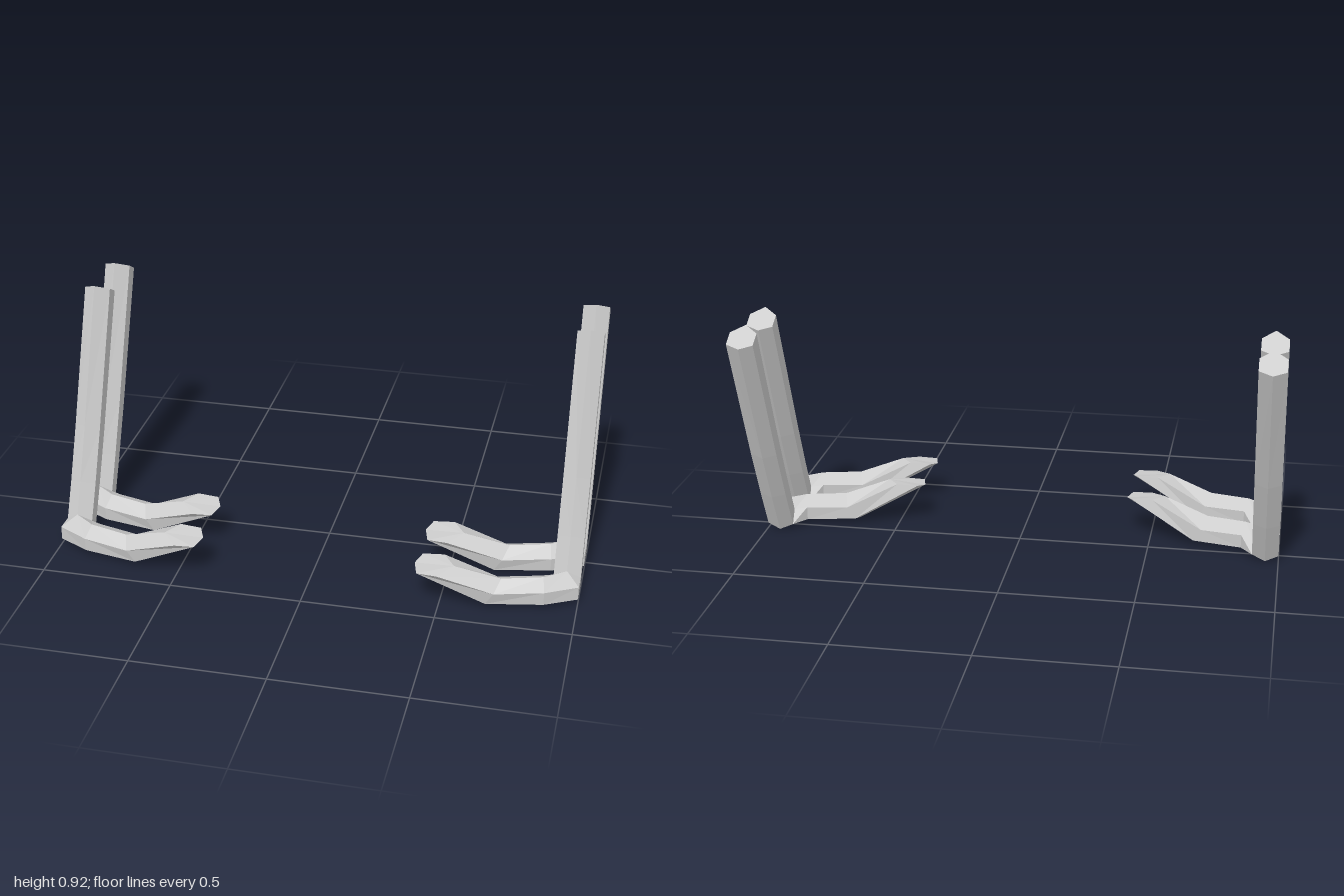
import * as THREE from 'three';

const material = new THREE.MeshStandardMaterial({ color: 0xcccccc, flatShading: true });

// Hexagonal ring of the leaning post, given its front and back corners as [y, z].
// Order: front, outer front, outer back, back, inner back, inner front.
function postRing([fy, fz], [by, bz]) {
  const at = (x, t) => [x, fy + (by - fy) * t, fz + (bz - fz) * t];
  return [at(0.95, 0), at(1, 0.33), at(1, 0.82), at(0.95, 1), at(0.9, 0.82), at(0.9, 0.33)];
}

const elbow = postRing([0.104, 0.245], [0, 0.18]);

const rings = [
  // post, from the top down
  postRing([0.922, -0.101], [0.861, -0.207]),
  postRing([0.42, 0.103], [0.363, 0.006]),
  postRing([0.22, 0.19], [0.167, 0.097]),
  elbow,
  // corner turning inward, pivoting on the inner edges of the elbow
  [elbow[0], [1, 0.072, 0.297], [1, 0.02, 0.297], [0.95, 0, 0.24], elbow[4], elbow[5]],
  // foot: top, front upper, front lower, bottom, back lower, back upper
  [[0.87, 0.104, 0.305], [0.88, 0.072, 0.363], [0.88, 0.02, 0.36],
    [0.87, 0.003, 0.305], [0.855, 0.02, 0.247], [0.855, 0.072, 0.245]],
  [[0.72, 0.102, 0.345], [0.7, 0.068, 0.405], [0.67, 0.02, 0.4],
    [0.66, 0.006, 0.34], [0.67, 0.02, 0.285], [0.7, 0.068, 0.28]],
  // slanted, upturned tip
  [[0.55, 0.157, 0.385], [0.495, 0.143, 0.448], [0.42, 0.143, 0.442],
    [0.403, 0.147, 0.375], [0.425, 0.159, 0.326], [0.505, 0.163, 0.322]],
];

// Faceted skin over the rings, closed at both ends; side = -1 mirrors it.
function loft(side) {
  const positions = [];
  const tri = (a, b, c) => {
    if (a === b || b === c || a === c) return;
    for (const p of side > 0 ? [a, b, c] : [a, c, b]) positions.push(p[0] * side, p[1], p[2]);
  };
  for (let r = 0; r < rings.length - 1; r++) {
    const A = rings[r], B = rings[r + 1];
    for (let i = 0; i < 6; i++) {
      const j = (i + 1) % 6;
      tri(A[i], B[i], B[j]);
      tri(A[i], B[j], A[j]);
    }
  }
  const top = rings[0], tip = rings[rings.length - 1];
  for (let i = 1; i < 5; i++) {
    tri(top[0], top[i], top[i + 1]);
    tri(tip[0], tip[i + 1], tip[i]);
  }
  const geometry = new THREE.BufferGeometry();
  geometry.setAttribute('position', new THREE.Float32BufferAttribute(positions, 3));
  geometry.computeVertexNormals();
  return geometry;
}

export function createModel() {
  const group = new THREE.Group();
  group.name = 'bentProngs';
  // two bent prongs on each side, one behind the other
  for (const [sideName, side] of [['left', 1], ['right', -1]]) {
    const geometry = loft(side);
    for (const [rowName, z] of [['Front', 0], ['Rear', -0.24]]) {
      const prong = new THREE.Mesh(geometry, material);
      prong.name = `${sideName}${rowName}Prong`;
      prong.position.z = z;
      group.add(prong);
    }
  }
  return group;
}
